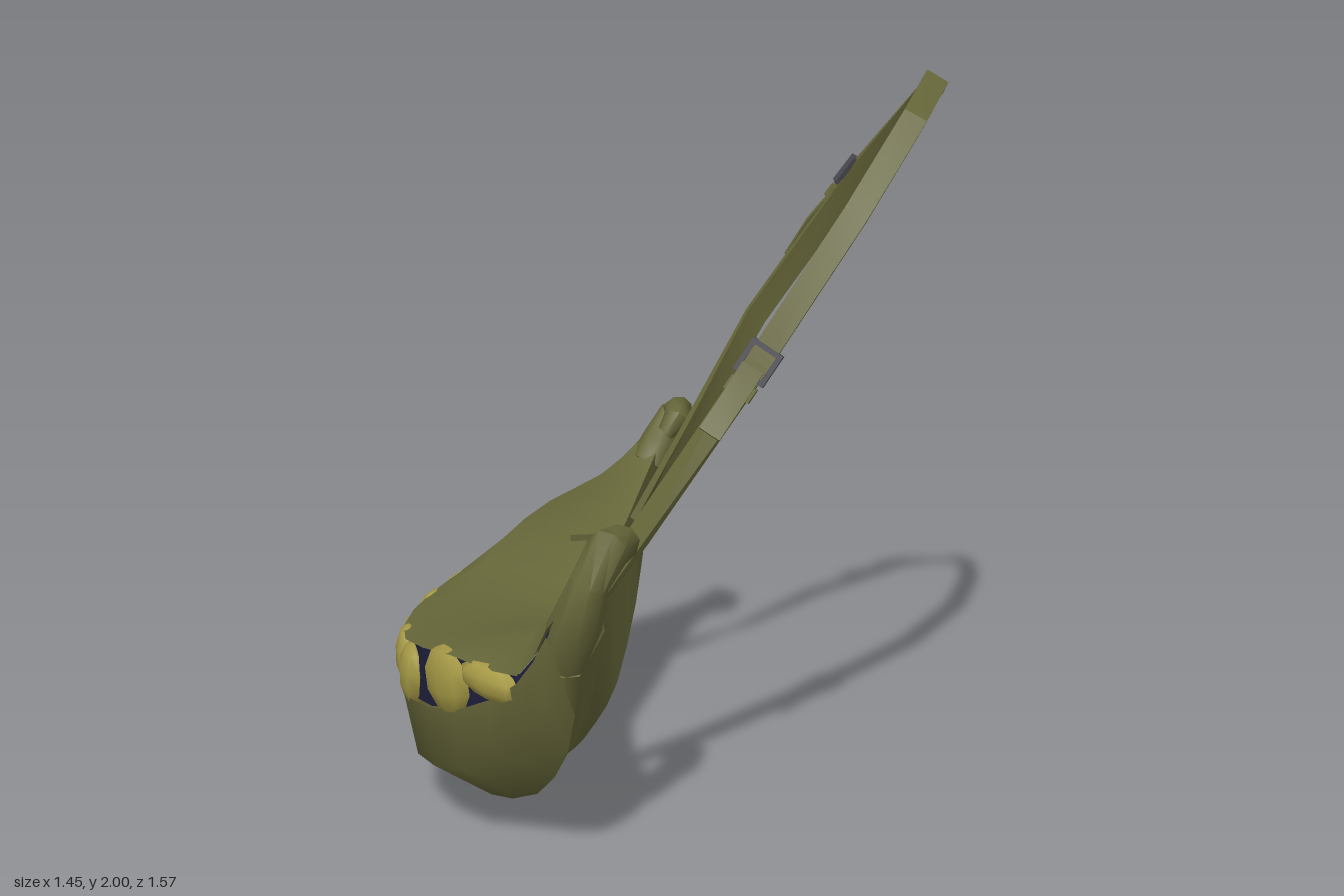
import * as THREE from 'three';
import { toCreasedNormals } from 'three/addons/utils/BufferGeometryUtils.js';

const V = (x, y, z) => new THREE.Vector3(x, y, z);
const toVecs = (rows) => rows.map((p) => V(p[0], p[1], p[2]));
const mat = (name, color) => {
  const m = new THREE.MeshStandardMaterial({ color, side: THREE.DoubleSide });
  m.name = name;
  return m;
};

// Skin a list of sections (arrays of points); rings run counter-clockwise about the path.
function loft(sections, closed, crease) {
  const n = sections[0].length, pos = [], idx = [];
  sections.forEach((s) => s.forEach((p) => pos.push(p.x, p.y, p.z)));
  for (let i = 0; i < sections.length - 1; i++) {
    for (let j = 0; j < (closed ? n : n - 1); j++) {
      const a = i * n + j, b = i * n + ((j + 1) % n);
      idx.push(a, b, a + n, b, b + n, a + n);
    }
  }
  const g = new THREE.BufferGeometry();
  g.setAttribute('position', new THREE.Float32BufferAttribute(pos, 3));
  g.setIndex(idx);
  return toCreasedNormals(g, crease);
}

// Close both ends of a ring list by collapsing to the ring centre.
function capped(rings) {
  const centre = (r) => {
    const c = r.reduce((s, p) => s.add(p), V(0, 0, 0)).divideScalar(r.length);
    return r.map(() => c.clone());
  };
  return [centre(rings[0]), ...rings, centre(rings[rings.length - 1])];
}

// Frame at point i of a polyline: tangent t, width w, thickness v.
function frame(pts, i, side) {
  const a = pts[Math.max(i - 1, 0)], b = pts[Math.min(i + 1, pts.length - 1)];
  const t = b.clone().sub(a).normalize();
  const w = side.clone().addScaledVector(t, -side.dot(t)).normalize();
  return { t, w, v: t.clone().cross(w) };
}

// Elliptical or rectangular tube along a polyline.
function sweep(pts, sides, halfW, halfT, sideAt, crease) {
  const rings = pts.map((p, i) => {
    const { w, v } = frame(pts, i, sideAt(i));
    return Array.from({ length: sides }, (_, k) => {
      const a = ((k + 0.5) / sides) * Math.PI * 2, f = sides === 4 ? Math.SQRT2 : 1;
      return p.clone().addScaledVector(w, Math.cos(a) * f * halfW(i)).addScaledVector(v, Math.sin(a) * f * halfT(i));
    });
  });
  return loft(capped(rings), true, crease);
}

// Lengthwise rails of the crescent bag, from the back tip to the front tip.
const rails = {
  rim: [[-.18, .8, -.66], [-.19, .72, -.52], [-.19, .66, -.38], [-.185, .58, -.15], [-.16, .51, .08], [-.1, .55, .28], [-.05, .63, .46], [0, .7, .58], [.05, .77, .64]],
  flap: [[-.22, .82, -.68], [-.34, .71, -.56], [-.46, .655, -.42], [-.53, .6, -.2], [-.52, .55, .1], [-.42, .56, .34], [-.26, .615, .53], [-.1, .7, .67], [0, .79, .72]],
  upperLip: [[-.25, .8, -.69], [-.4, .64, -.58], [-.57, .52, -.44], [-.67, .48, -.2], [-.7, .46, .08], [-.59, .5, .39], [-.36, .57, .62], [-.13, .595, .755], [-.04, .74, .78]],
  lowerLip: [[-.25, .795, -.69], [-.405, .635, -.58], [-.57, .485, -.44], [-.69, .37, -.2], [-.715, .33, .1], [-.59, .345, .41], [-.35, .42, .625], [-.13, .575, .76], [-.04, .72, .785]],
  belly: [[-.23, .74, -.69], [-.37, .54, -.57], [-.51, .36, -.43], [-.62, .2, -.18], [-.65, .14, .1], [-.56, .17, .4], [-.34, .26, .63], [-.12, .45, .74], [0, .62, .79]],
  bottom: [[-.2, .72, -.68], [-.32, .48, -.57], [-.4, .28, -.43], [-.45, .1, -.18], [-.46, .005, .1], [-.36, .055, .36], [-.16, .17, .54], [-.02, .38, .69], [.04, .62, .77]],
  inner: [[-.18, .76, -.66], [-.185, .56, -.52], [-.175, .37, -.38], [-.165, .2, -.16], [-.15, .18, .08], [-.13, .21, .32], [-.04, .38, .48], [.02, .53, .6], [.07, .7, .66]],
};

export function createModel() {
  const model = new THREE.Group();
  const cloth = mat('olive cloth', 0x67673a);
  const gold = mat('gold', 0xa69a46);
  const lining = mat('navy lining', 0x1e1f3c);
  const metal = mat('dark metal', 0x4a4a52);
  const add = (name, geo, material, parent = model) => {
    const m = new THREE.Mesh(geo, material);
    m.name = name;
    parent.add(m);
    return m;
  };

  // Bag body, open along the mouth between the two lips
  const curve = {};
  for (const k in rails) curve[k] = new THREE.CatmullRomCurve3(toVecs(rails[k]), false, 'catmullrom', 0.5);
  const steps = 16;
  const skin = (names, change = (p) => p) =>
    Array.from({ length: steps + 1 }, (_, i) => names.map((n) => change(curve[n].getPoint(i / steps))));
  add('bagBody', loft(skin(['lowerLip', 'belly', 'bottom', 'inner', 'rim', 'flap', 'upperLip']), false, 1.15), cloth);
  add('mouthLining', loft(skin(['upperLip', 'lowerLip'], (p) => p.multiply(V(0.975, 1, 0.98))), false, 0.85), lining);

  // Gold lumps filling the mouth: place along it, half length, height in the gap
  const lumps = new THREE.Group();
  lumps.name = 'goldLumps';
  model.add(lumps);
  const lumpGeo = new THREE.SphereGeometry(1, 8, 5);
  [[.3, .1, .5], [.375, .105, .55], [.445, .09, .5], [.515, .085, .6], [.575, .09, .5], [.63, .075, .6], [.725, .115, .5], [.815, .125, .45]].forEach(([t, length, lift], i) => {
    const a = curve.upperLip.getPoint(t), b = curve.lowerLip.getPoint(t);
    const along = curve.upperLip.getTangent(t);
    const m = add('goldLump', lumpGeo, gold, lumps);
    m.position.copy(a).lerp(b, lift).multiply(V(.97, 1, .975));
    m.scale.set(0.038, a.distanceTo(b) * 0.6, length);
    m.rotation.set((i % 3 - 1) * 0.2, Math.atan2(along.x, along.z), 0, 'YXZ');
  });

  // Curled hooks at both tips: x, y, z and radius at each bend
  const hook = (name, rows) =>
    add(name, sweep(toVecs(rows), 8, (i) => rows[i][3], (i) => rows[i][3], () => V(1, 0, 0), 1.1), cloth);
  hook('frontHook', [[-.03, .62, .68, .06], [.01, .73, .715, .07], [.055, .85, .735, .05], [.09, .93, .685, .056], [.09, .915, .595, .05], [.045, .835, .6, .03]]);
  hook('backHook', [[-.22, .73, -.64, .055], [-.195, .79, -.68, .055], [-.165, .875, -.745, .042], [-.135, .895, -.7, .042], [-.12, .88, -.62, .042], [-.15, .845, -.6, .025]]);

  // Shoulder strap: a flat band that twists along the back and at both ends
  const strap = toVecs([[-.08, .6, .45], [.09, .88, .44], [.37, 1.33, .33], [.58, 1.69, .2], [.685, 1.91, 0], [.695, 1.98, -.25], [.65, 1.93, -.47], [.42, 1.66, -.6], [.15, 1.25, -.52], [-.01, .93, -.43], [-.18, .64, -.4]]);
  const last = strap.length - 1;
  const flat = V(.87, -.5, 0), twisted = V(.76, -.44, -.45);
  const sideAt = (i) => {
    const end = Math.min(i, last - i), k = end === 0 ? 1 : end === 1 ? 0.4 : 0;
    return (i > 6 ? twisted : flat).clone().lerp(V(0, 0, i < last / 2 ? 1 : -1), k);
  };
  const bandWidth = (i) => (i === 0 || i === last ? 0.04 : 0.032);
  add('shoulderStrap', sweep(strap, 4, bandWidth, () => 0.01, sideAt, 0.5), cloth);

  // Buckle frames with a keeper loop and a hanging strap end
  const ring = new THREE.Shape([[-.045, -.047], [.045, -.047], [.045, .047], [-.045, .047]].map((p) => new THREE.Vector2(...p)));
  ring.holes.push(new THREE.Path([[-.032, -.034], [-.032, .034], [.032, .034], [.032, -.034]].map((p) => new THREE.Vector2(...p))));
  const frameGeo = new THREE.ExtrudeGeometry(ring, { depth: 0.03, bevelEnabled: false }).translate(0, 0, -0.015);
  [['front', 2, 1, [[.36, 1.32, .345], [.31, 1.23, .38], [.27, 1.16, .425]]],
    ['back', 7, -1, [[.39, 1.62, -.6], [.31, 1.52, -.58], [.24, 1.41, -.61]]]].forEach(([name, i, dir, tail]) => {
    const { t, w } = frame(strap, i, sideAt(i));
    const g = new THREE.Group();
    g.name = name + 'Buckle';
    g.position.copy(strap[i]);
    g.quaternion.setFromRotationMatrix(new THREE.Matrix4().makeBasis(w, t, w.clone().cross(t)));
    model.add(g);
    add('buckleFrame', frameGeo, metal, g);
    add('strapKeeper', new THREE.BoxGeometry(0.075, 0.04, 0.036), cloth, g).position.y = -0.08 * dir;
    add(name + 'StrapEnd', sweep(toVecs(tail), 4, () => 0.03, () => 0.007, () => sideAt(i), 0.5), cloth);
  });

  // Small tab stitched on the flap
  const tab = add('flapTab', new THREE.BoxGeometry(0.11, 0.02, 0.045), cloth);
  tab.position.set(-.27, .63, -.23);
  tab.rotation.set(0.15, 0.3, 0);

  return model;
}
